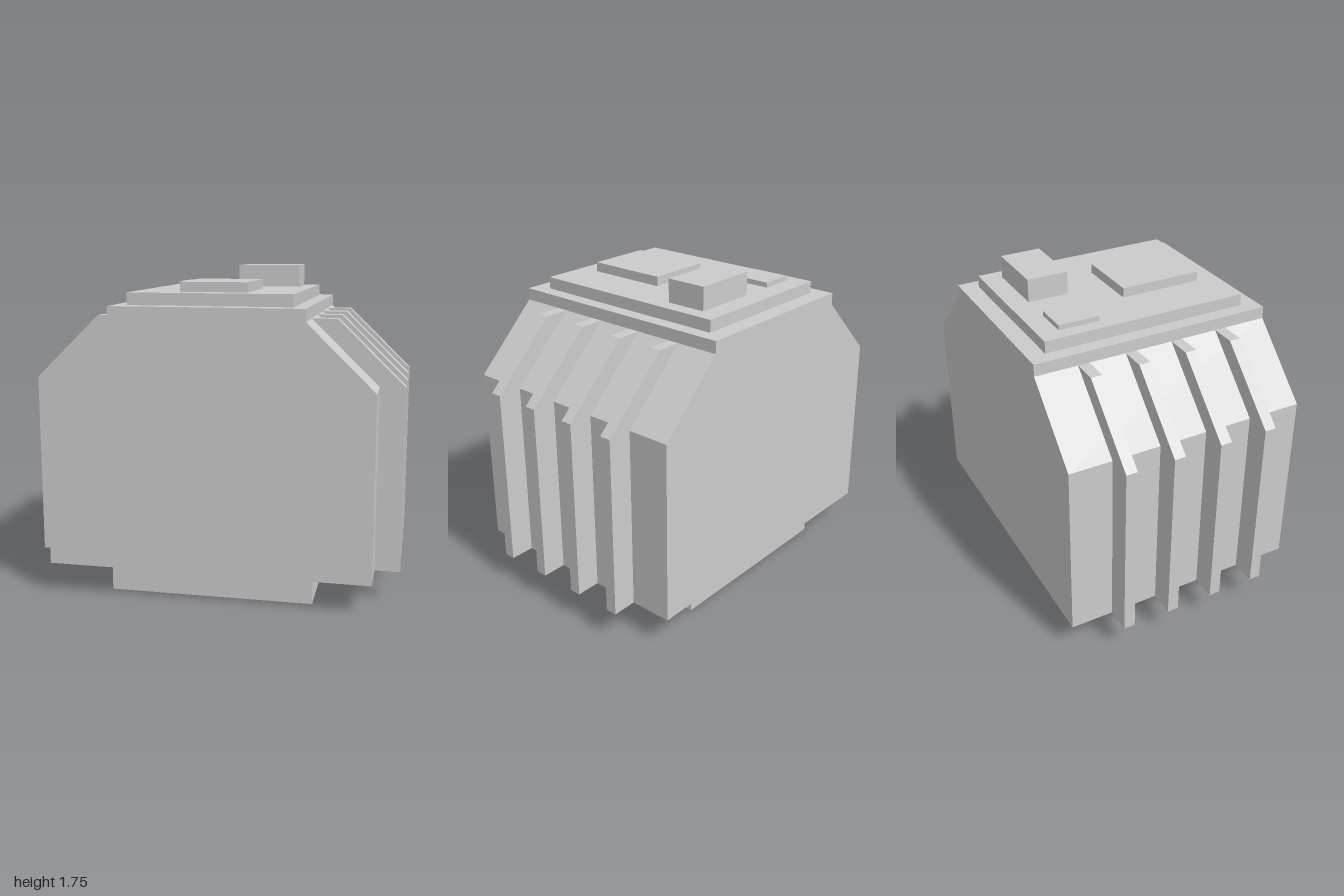
import * as THREE from 'three';

export function createModel() {
  const model = new THREE.Group();
  model.name = 'finnedHousing';
  const material = new THREE.MeshStandardMaterial({ color: 0xcccccc, flatShading: true });

  function add(name, geometry) {
    const mesh = new THREE.Mesh(geometry, material);
    mesh.name = name;
    model.add(mesh);
    return mesh;
  }

  // Box given by its limits on each axis
  function block(name, [x0, x1], [y0, y1], [z0, z1]) {
    add(name, new THREE.BoxGeometry(x1 - x0, y1 - y0, z1 - z0))
      .position.set((x0 + x1) / 2, (y0 + y1) / 2, (z0 + z1) / 2);
  }

  // Front-facing outline extruded along z about a centre
  function slab(name, points, depth, z) {
    const shape = new THREE.Shape(points.map(([x, y]) => new THREE.Vector2(x, y)));
    const geometry = new THREE.ExtrudeGeometry(shape, { depth, bevelEnabled: false });
    add(name, geometry.translate(0, 0, z - depth / 2));
  }

  const mirror = (points) => points.map(([x, y]) => [-x, y]).reverse();

  // Foot
  block('base', [-0.55, 0.55], [0, 0.165], [-0.555, 0.555]);

  // Main body with sloped shoulders and a short raised crown
  const side = [[0.865, 0.165], [0.865, 1.15], [0.51, 1.495], [0.51, 1.56]];
  slab('body', [...side, ...mirror(side)], 1.33, 0);

  // Four cooling fins on each side, following the shoulders
  const fin = [[0.865, 0.165], [1, 0.165], [1, 1.15], [0.645, 1.495], [0.51, 1.495], [0.865, 1.15]];
  for (let i = 0; i < 4; i++) {
    const z = -0.4 + i * 0.2653;
    slab('leftFin', fin, 0.062, z);
    slab('rightFin', mirror(fin), 0.062, z);
  }

  // Lid and the raised blocks on it
  block('topPlate', [-0.435, 0.435], [1.56, 1.625], [-0.57, 0.57]);
  block('frontPad', [-0.18, 0.18], [1.625, 1.677], [0, 0.455]);
  block('smallPad', [-0.36, -0.18], [1.625, 1.652], [-0.46, -0.235]);
  block('tallBlock', [0, 0.355], [1.625, 1.75], [-0.46, -0.235]);

  return model;
}
